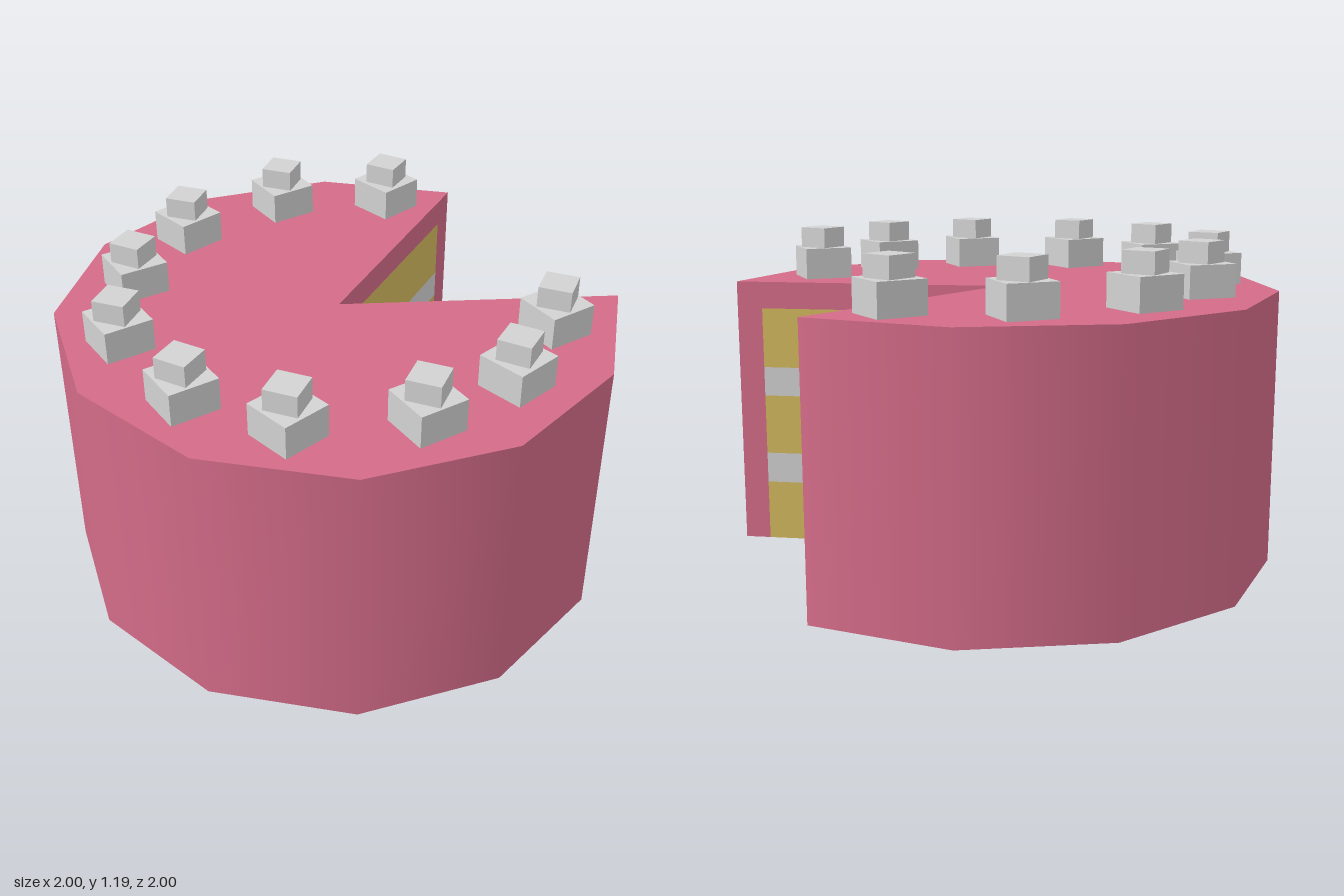
import * as THREE from 'three';

const mat = (name, color, extra = {}) => {
  const m = new THREE.MeshStandardMaterial({ color, ...extra });
  m.name = name;
  return m;
};

export function createModel() {
  const pink = mat('pink icing', 0xd46c89);
  const yellow = mat('yellow sponge', 0xd3b95e);
  const cream = mat('white cream', 0xd2d2d2);
  const cake = new THREE.Group();
  cake.name = 'cake';

  const add = (parent, name, geometry, material) => {
    const mesh = new THREE.Mesh(geometry, material);
    mesh.name = name;
    parent.add(mesh);
    return mesh;
  };

  // Twelve-sided body with a two-side wedge missing
  const body = new THREE.CylinderGeometry(1, 1, 1, 10, 1, false, Math.PI, Math.PI * 5 / 3);
  add(cake, 'icedBody', body, pink).position.y = 0.5;

  // Layers on a cut face, bottom to top: name, material, lower and upper height
  const rim = 0.905;
  const layers = [
    ['lowerSponge', yellow, 0, 0.225],
    ['lowerCream', cream, 0.225, 0.34],
    ['middleSponge', yellow, 0.34, 0.565],
    ['upperCream', cream, 0.565, 0.675],
    ['upperSponge', yellow, 0.675, 0.9],
  ];

  // side is the direction from the centre to the rim along the face's own x
  const cutFace = (name, angle, side) => {
    const face = new THREE.Group();
    face.name = name;
    const panel = (label, material, r0, r1, y0, y1) => {
      const g = new THREE.PlaneGeometry(r1 - r0, y1 - y0);
      g.translate(side * (r0 + r1) / 2, (y0 + y1) / 2, 0);
      add(face, label, g, material);
    };
    for (const [label, material, y0, y1] of layers) panel(label, material, 0, rim, y0, y1);
    panel('topIcingEdge', pink, 0, 1, 0.9, 1);
    panel('outerIcingEdge', pink, rim, 1, 0, 0.9);
    face.rotation.y = angle;
    cake.add(face);
  };
  cutFace('backCut', Math.PI / 2, 1);
  cutFace('leftCut', Math.PI * 7 / 6, -1);

  // Cream dollops: x, z, turn of the lower block and of the upper block in degrees
  const dollops = [
    [-0.18, -0.78, 20, 2], [-0.535, -0.567, 30, -7], [-0.733, -0.182, 20, -8],
    [-0.71, 0.214, 32, 0], [-0.54, 0.567, 30, -7], [-0.165, 0.77, 30, 2],
    [0.209, 0.765, 20, -5], [0.567, 0.53, 31, -5], [0.738, 0.203, 20, 1],
    [0.738, -0.171, 30, -5],
  ];
  const lower = new THREE.BoxGeometry(0.175, 0.115, 0.175);
  const upper = new THREE.BoxGeometry(0.115, 0.075, 0.115);
  for (const [x, z, turnLow, turnHigh] of dollops) {
    const dollop = new THREE.Group();
    dollop.name = 'creamDollop';
    dollop.position.set(x, 1, z);
    const a = add(dollop, 'dollopBase', lower, cream);
    a.position.y = 0.0575;
    a.rotation.y = -THREE.MathUtils.degToRad(turnLow);
    const b = add(dollop, 'dollopTip', upper, cream);
    b.position.y = 0.1525;
    b.rotation.y = -THREE.MathUtils.degToRad(turnHigh);
    cake.add(dollop);
  }
  return cake;
}
